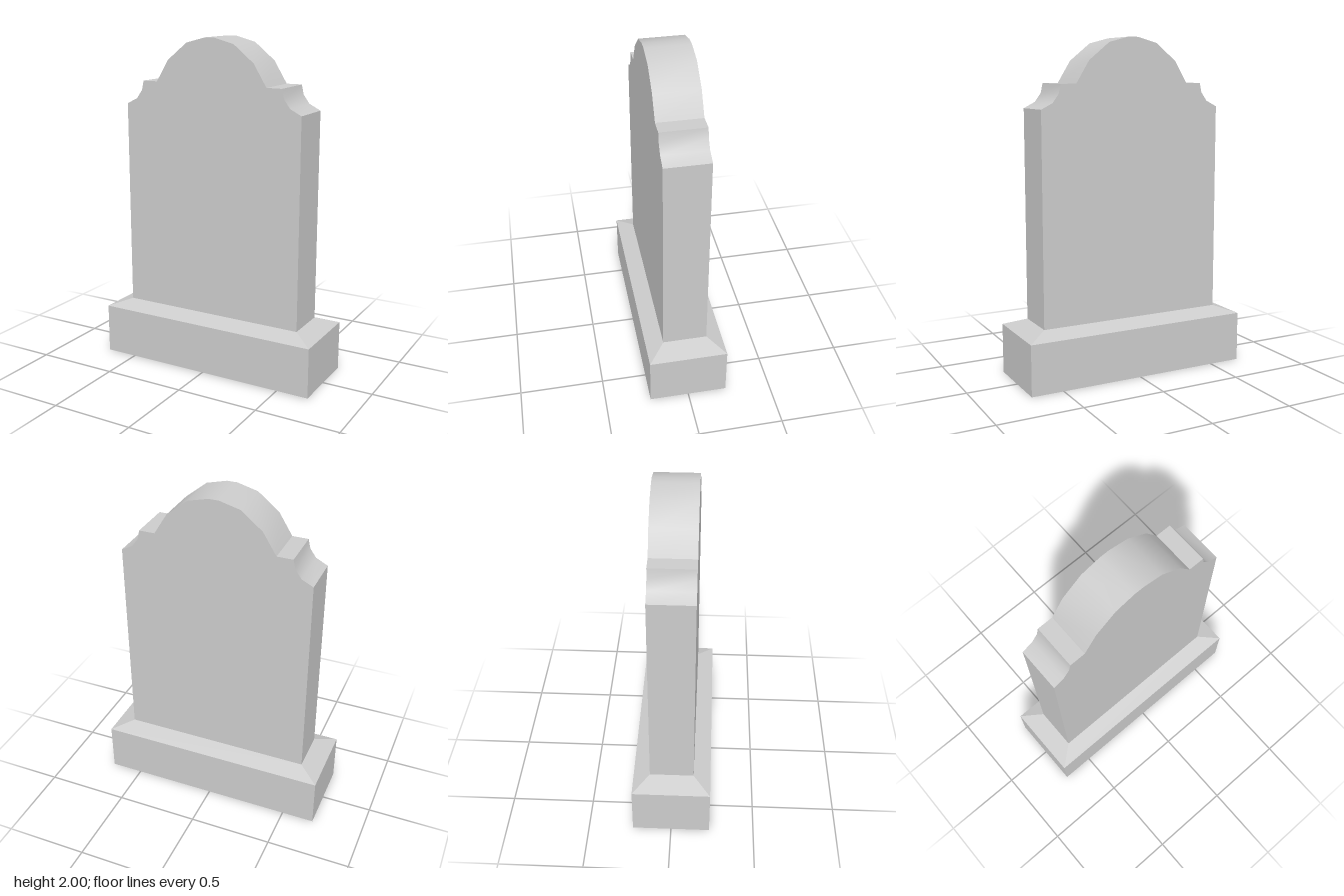
import * as THREE from 'three';
import { toCreasedNormals } from 'three/addons/utils/BufferGeometryUtils.js';

const HALF_DEPTH = 0.131, SLAB_X = 0.574, SLAB_Y = 0.345;

// Right half of the slab outline, from foot to crown: side, cove, ledge, dome
const HALF_OUTLINE = [
  [SLAB_X, SLAB_Y], [SLAB_X, 1.595],
  [0.505, 1.63], [0.468, 1.68], [0.455, 1.737],
  [0.36, 1.737], [0.28, 1.866], [0.153, 1.968], [0.03, 2],
];

// Upright slab, left open underneath where it joins the hollow plinth
function slabGeometry() {
  const mirrored = HALF_OUTLINE.map(([x, y]) => [-x, y]).reverse();
  const shape = new THREE.Shape([...HALF_OUTLINE, ...mirrored].map(([x, y]) => new THREE.Vector2(x, y)));
  const solid = new THREE.ExtrudeGeometry(shape, { depth: 2 * HALF_DEPTH, bevelEnabled: false });
  solid.translate(0, 0, -HALF_DEPTH);
  const p = solid.toNonIndexed().attributes.position;
  const kept = [];
  for (let i = 0; i < p.count; i += 3) {
    const isFoot = [0, 1, 2].every(k => p.getY(i + k) < SLAB_Y + 1e-4);
    if (isFoot) continue;
    for (let k = 0; k < 3; k++) kept.push(p.getX(i + k), p.getY(i + k), p.getZ(i + k));
  }
  const geometry = new THREE.BufferGeometry();
  geometry.setAttribute('position', new THREE.Float32BufferAttribute(kept, 3));
  return toCreasedNormals(geometry, 0.65);
}

// Hollow rectangular shell through rings of [halfWidth, y, halfDepth]
function shellGeometry(rings) {
  const corners = [[1, 1], [1, -1], [-1, -1], [-1, 1]];
  const positions = [], indices = [];
  for (const [w, y, d] of rings) {
    for (const [sx, sz] of corners) positions.push(sx * w, y, sz * d);
  }
  for (let r = 0; r < rings.length - 1; r++) {
    for (let i = 0; i < 4; i++) {
      const a = r * 4 + i, b = r * 4 + (i + 1) % 4;
      indices.push(a, b, b + 4, a, b + 4, a + 4);
    }
  }
  const geometry = new THREE.BufferGeometry();
  geometry.setAttribute('position', new THREE.Float32BufferAttribute(positions, 3));
  geometry.setIndex(indices);
  const flat = geometry.toNonIndexed();
  flat.computeVertexNormals();
  return flat;
}

export function createModel() {
  const stone = new THREE.MeshStandardMaterial({ color: 0xcccccc, side: THREE.DoubleSide });
  const group = new THREE.Group();
  group.name = 'gravestone';

  const slab = new THREE.Mesh(slabGeometry(), stone);
  slab.name = 'slab';

  // Plinth: straight walls and a sloped shoulder, open at the bottom
  const plinth = new THREE.Mesh(shellGeometry([
    [0.696, 0, 0.232], [0.696, 0.302, 0.232], [SLAB_X, SLAB_Y, HALF_DEPTH],
  ]), stone);
  plinth.name = 'plinth';

  group.add(slab, plinth);
  return group;
}
